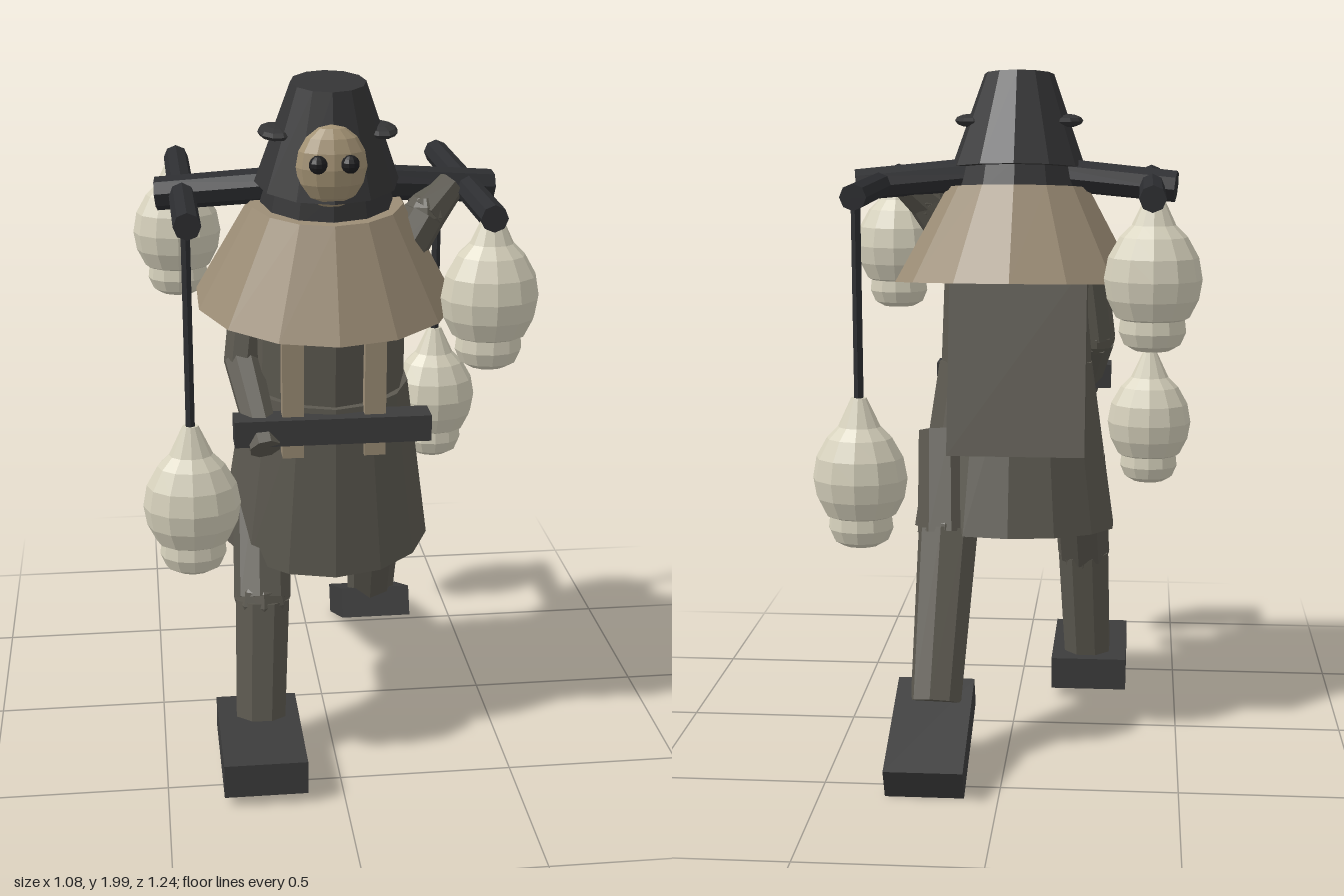
import * as THREE from 'three';

const mat = (name, color) => {
  const m = new THREE.MeshStandardMaterial({ color, flatShading: true });
  m.name = name;
  return m;
};

export function createModel() {
  const coat = mat('coat grey', 0x5c5950);
  const cloth = mat('cape tan', 0x9b8c75);
  const hatMat = mat('hat charcoal', 0x353536);
  const boot = mat('boot charcoal', 0x3c3c3c);
  const wood = mat('pole black', 0x2d2e31);
  const clay = mat('jar cream', 0xd6d1bc);
  const skin = mat('face tan', 0xa39274);
  const dark = mat('eye black', 0x1d1d1f);

  const model = new THREE.Group();
  const V = (a) => new THREE.Vector3(...a);

  const add = (name, geometry, material, pos = [0, 0, 0], parent = model) => {
    const m = new THREE.Mesh(geometry, material);
    m.name = name;
    m.position.set(...pos);
    parent.add(m);
    return m;
  };

  const box = (name, material, size, pos, rx = 0) => {
    const m = add(name, new THREE.BoxGeometry(...size), material, pos);
    m.rotation.x = rx;
    return m;
  };

  // Straight round bar between two points
  const bar = (name, material, a, b, ra, rb, sides = 8, parent = model) => {
    const p = V(a), q = V(b), d = q.clone().sub(p);
    const m = add(name, new THREE.CylinderGeometry(rb, ra, d.length(), sides), material,
      p.clone().add(q).multiplyScalar(0.5).toArray(), parent);
    m.quaternion.setFromUnitVectors(new THREE.Vector3(0, 1, 0), d.normalize());
    return m;
  };

  // Bent limb: bars along the points with a faceted joint between them
  const limb = (name, material, points, radii) => {
    const g = new THREE.Group();
    g.name = name;
    model.add(g);
    for (let i = 0; i < points.length - 1; i++) {
      bar(name + 'Segment', material, points[i], points[i + 1], radii[i], radii[i + 1], 8, g);
      if (i > 0) add(name + 'Joint', new THREE.SphereGeometry(radii[i] * 0.99, 8, 6), material, points[i], g);
    }
  };

  // Tapered garment section leaning forwards
  const lean = 0.115;
  const cone = (name, material, top, bottom, height, sides, pos, tilt = lean) => {
    const m = add(name, new THREE.CylinderGeometry(top, bottom, height, sides), material, pos);
    m.rotation.x = tilt;
    return m;
  };

  const ellipsoid = (name, material, radii, pos, w = 12, h = 8) => {
    const m = add(name, new THREE.SphereGeometry(1, w, h), material, pos);
    m.scale.set(...radii);
    return m;
  };

  // Clothes
  cone('skirt', coat, 0.235, 0.308, 0.5, 14, [0, 0.875, 0.097]);
  cone('torso', coat, 0.215, 0.23, 0.5, 12, [0, 1.3, 0.138]);
  cone('cape', cloth, 0.215, 0.372, 0.285, 14, [-0.005, 1.505, 0.14]);

  // Flap hanging down the back, cut from its side outline
  const outline = new THREE.Shape([[-0.06, 1.45], [0.08, 1.45], [0.21, 0.9], [0.115, 0.925]]
    .map(([x, y]) => new THREE.Vector2(x, y)));
  const flap = add('backFlap', new THREE.ExtrudeGeometry(outline, { depth: 0.4, bevelEnabled: false }),
    coat, [-0.22, 0, 0]);
  flap.rotation.y = Math.PI / 2;

  // Front straps and belt bar
  for (const x of [-0.12, 0.11]) box('strap', cloth, [0.06, 0.44, 0.05], [x, 1.18, 0.343], 0.02);
  box('beltBar', boot, [0.55, 0.075, 0.085], [-0.01, 1.045, 0.352]);

  // Head and hat
  cone('hat', hatMat, 0.104, 0.202, 0.28, 12, [-0.004, 1.843, 0.176], 0.135);
  cone('neck', hatMat, 0.17, 0.19, 0.09, 12, [-0.004, 1.675, 0.16]);
  ellipsoid('face', skin, [0.097, 0.113, 0.067], [-0.008, 1.773, 0.313]);
  for (const s of [-1, 1]) {
    ellipsoid('eye', dark, [0.025, 0.025, 0.025], [-0.008 + s * 0.043, 1.79, 0.375], 10, 7);
    ellipsoid('hatEarFlap', hatMat, [0.05, 0.02, 0.105], [-0.004 + s * 0.143, 1.845, 0.18], 10, 6);
  }

  // Legs and boots
  limb('rightLeg', coat, [[-0.19, 0.85, 0.08], [-0.205, 0.49, 0.27], [-0.218, 0.14, 0.33]],
    [0.085, 0.083, 0.077]);
  limb('leftLeg', coat, [[0.195, 0.94, -0.04], [0.185, 0.65, -0.13], [0.2, 0.2, -0.345]],
    [0.085, 0.09, 0.075]);
  box('rightBoot', boot, [0.237, 0.1, 0.4], [-0.225, 0.09, 0.42]);
  box('leftBoot', boot, [0.222, 0.095, 0.38], [0.206, 0.127, -0.425], -0.4);

  // Arms
  limb('rightArm', coat, [[-0.21, 1.48, 0.13], [-0.245, 1.19, 0.17], [-0.2, 1.0, 0.39]],
    [0.055, 0.055, 0.045]);
  limb('leftArm', coat, [[0.18, 1.46, 0.2], [0.27, 1.6, 0.17], [0.35, 1.675, 0.125]],
    [0.065, 0.062, 0.045]);

  // Shoulder yoke carrying two poles
  for (const s of [-1, 1]) {
    bar('yoke', wood, [0, 1.7, 0.145], [s * 0.475, 1.658, 0.077], 0.05, 0.047, 8);
    bar('carryingPole', wood, [s * 0.404, 1.66, -0.42], [s * 0.404, 1.66, 0.49], 0.037, 0.037, 8);
  }

  // Hanging jars, alternating high and low
  const profile = [[0, -0.195], [0.05, -0.195], [0.077, -0.18], [0.092, -0.145], [0.088, -0.11],
    [0.1, -0.105], [0.125, -0.055], [0.134, 0], [0.123, 0.06], [0.092, 0.115], [0.06, 0.147],
    [0.022, 0.228], [0, 0.228]].map(([r, y]) => new THREE.Vector2(r, y));
  const jarGeometry = new THREE.LatheGeometry(profile, 12);
  for (const [x, z, y] of [[0.404, 0.454, 1.44], [0.404, -0.375, 0.873],
    [-0.408, 0.454, 0.873], [-0.408, -0.375, 1.44]]) {
    add('jar', jarGeometry, clay, [x, y, z]).scale.z = 0.82;
    bar('rope', wood, [x, y + 0.2, z], [x, 1.66, z], 0.014, 0.014, 6);
  }

  return model;
}
